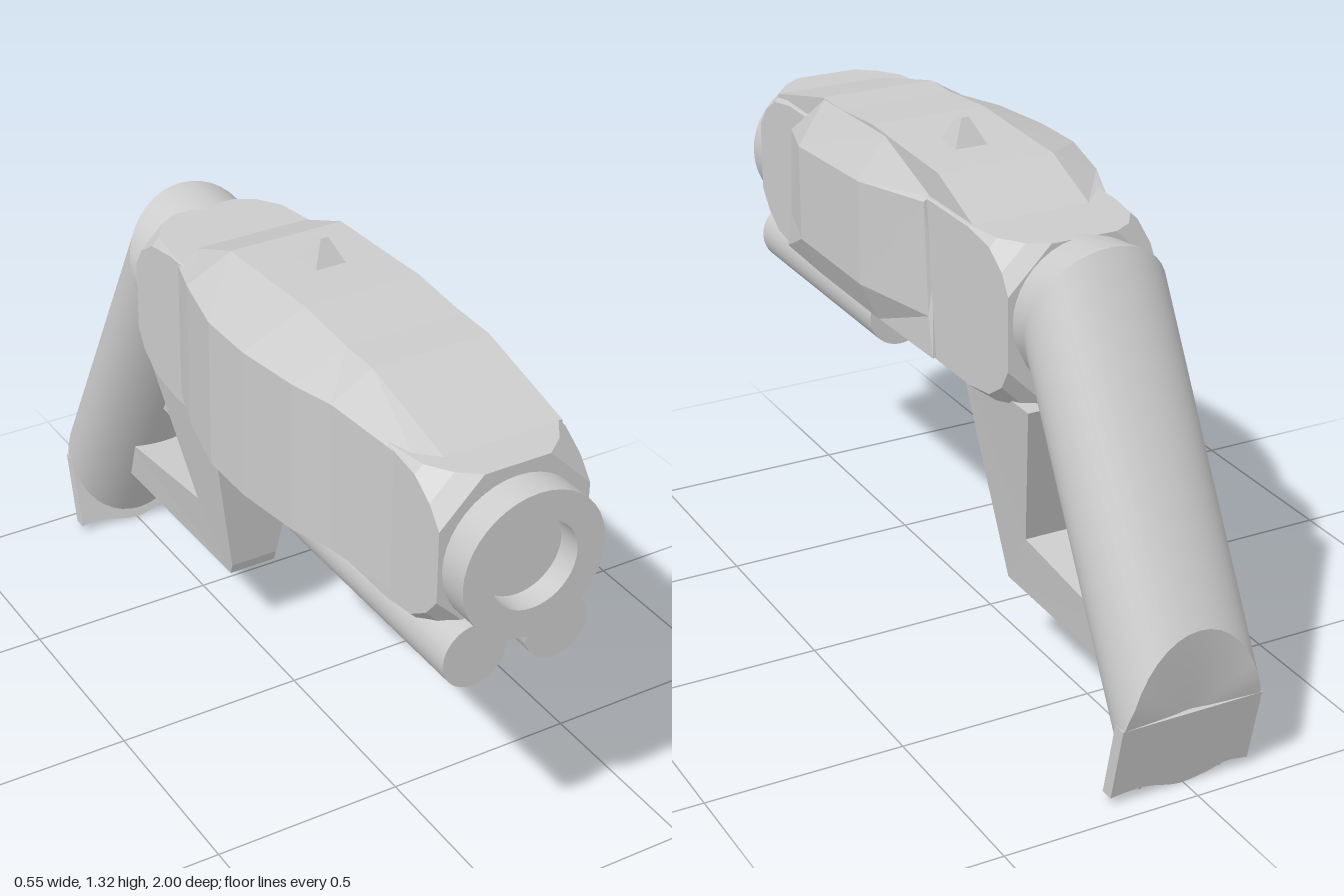
import * as THREE from 'three';
import { toCreasedNormals } from 'three/addons/utils/BufferGeometryUtils.js';

const CX = 0.012; // centre line of the round parts

// Joins closed rings of [x, y, z] points into a capped solid facing outwards.
function loft(rings, crease = 0) {
  const tris = [];
  const n = rings[0].length;
  const centre = (ring) => [0, 1, 2].map((k) => ring.reduce((t, p) => t + p[k], 0) / n);
  for (let j = 0; j < n; j++) {
    const k = (j + 1) % n;
    for (let i = 0; i < rings.length - 1; i++) {
      const a = rings[i], b = rings[i + 1];
      tris.push([a[j], a[k], b[k]], [a[j], b[k], b[j]]);
    }
    const first = rings[0], last = rings[rings.length - 1];
    tris.push([centre(first), first[k], first[j]], [centre(last), last[j], last[k]]);
  }
  const v = tris.map((t) => t.map((p) => new THREE.Vector3(...p)));
  const volume = v.reduce((t, [a, b, c]) => t + a.dot(b.clone().cross(c)), 0);
  if (volume < 0) v.forEach((t) => t.reverse());
  const geo = new THREE.BufferGeometry().setFromPoints(v.flat());
  geo.computeVertexNormals();
  return crease ? toCreasedNormals(geo, crease) : geo;
}

// Extrudes a side outline of [z, y] points across x; halfWidth(y) gives the taper.
function sideSolid(points, halfWidth) {
  const shape = new THREE.Shape(points.map(([z, y]) => new THREE.Vector2(-z, y)));
  const geo = new THREE.ExtrudeGeometry(shape, { depth: 2, bevelEnabled: false });
  geo.translate(0, 0, -1).rotateY(Math.PI / 2);
  const p = geo.attributes.position;
  for (let i = 0; i < p.count; i++) p.setX(i, CX + p.getX(i) * halfWidth(p.getY(i)));
  geo.computeVertexNormals();
  return geo;
}

export function createModel() {
  const group = new THREE.Group();
  const material = new THREE.MeshStandardMaterial({ color: 0xcccccc });
  const add = (name, geo) => {
    const mesh = new THREE.Mesh(geo, material);
    mesh.name = name;
    group.add(mesh);
    return mesh;
  };

  // Main body: a box whose corners are cut away towards both ends
  const [x0, x1, y0, y1] = [-0.183, 0.206, 0.778, 1.18];
  const bodyRing = (z, c) => [
    [x0 + c, y0, z], [x1 - c, y0, z], [x1, y0 + c, z], [x1, y1 - c, z],
    [x1 - c, y1, z], [x0 + c, y1, z], [x0, y1 - c, z], [x0, y0 + c, z],
  ];
  add('body', loft([
    [-0.47, 0.11], [-0.44, 0.06], [-0.38, 0.02], [-0.28, 0.004],
    [0.72, 0.004], [0.82, 0.02], [0.88, 0.06], [0.92, 0.11],
  ].map(([z, c]) => bodyRing(z, c))));

  // Muzzle ring with a shallow bore
  const muzzle = new THREE.LatheGeometry(
    [[0.184, 0.85], [0.184, 1], [0.111, 1], [0.111, 0.94], [0, 0.94]].map((p) => new THREE.Vector2(...p)), 40);
  muzzle.rotateX(Math.PI / 2).translate(CX, 0.967, 0);
  add('muzzle', toCreasedNormals(muzzle, 0.6));

  // Two tubes under the front
  for (const [name, x] of [['leftLowerTube', 0.116], ['rightLowerTube', -0.1]]) {
    const tube = new THREE.CylinderGeometry(0.082, 0.082, 0.68, 32);
    tube.rotateX(Math.PI / 2).translate(x, 0.74, 0.612);
    add(name, tube);
  }

  // Roof that folds down over the right side: [z, top height, side x, shoulder height]
  add('roofAndRightPanel', loft([
    [-0.28, 1.18, -0.17, 1.165],
    [-0.11, 1.25, -0.23, 1.19],
    [0.08, 1.258, -0.275, 1.195],
    [0.24, 1.266, -0.275, 1.195],
    [0.42, 1.252, -0.25, 1.195],
    [0.53, 1.252, -0.215, 1.19],
    [0.82, 1.18, -0.17, 1.165],
  ].map(([z, top, side, shoulder]) => [
    [0.196, top, z], [-0.11, top, z], [side, shoulder, z],
    [side, 0.81, z], [-0.12, 0.81, z], [0.196, 1.1, z],
  ])));

  // Bulged plate on the left side: top, upper, lower and bottom edges, then its back
  const plateRing = (zTop, zBottom, top, upper, xMid, xBottom) => [
    [0.197, top, zTop], [xMid, upper, zTop], [xMid, 0.887, (zTop + zBottom) / 2],
    [xBottom, 0.785, zBottom], [0.18, 0.785, zBottom], [0.18, upper - 0.02, zTop],
  ];
  add('leftPanel', loft([
    plateRing(-0.07, -0.11, 1.18, 1.17, 0.215, 0.215),
    plateRing(0.17, 0.17, 1.258, 1.155, 0.272, 0.222),
    plateRing(0.52, 0.52, 1.25, 1.138, 0.272, 0.222),
    plateRing(0.7, 0.74, 1.13, 1.12, 0.212, 0.215),
  ]));

  // Small sight pyramid
  const sight = new THREE.CylinderGeometry(0.014, 0.0707, 0.08, 4, 1).rotateY(Math.PI / 4).toNonIndexed();
  sight.translate(0.047, 1.28, 0.05).computeVertexNormals();
  add('sight', sight);

  // Neck and slanted grip: an oval tube, mitred at the top and cut off at the back
  const neckRing = [], mitreRing = [], endRing = [];
  for (let i = 0; i < 40; i++) {
    const a = (i / 40) * Math.PI * 2;
    const s = Math.sin(a);
    const x = CX + 0.182 * Math.cos(a);
    const g = -0.921 - (s + 1) * 0.157; // each line along the grip is z = g + 0.54 y
    const top = Math.min((-0.19 - g) / 0.873, (-0.5 - g) / 0.54);
    const end = Math.max((-1 - g) / 0.54, (-0.935 - g) / 0.78, 0.02);
    neckRing.push([x, 0.995 + 0.182 * s, -0.42]);
    mitreRing.push([x, top, g + 0.54 * top]);
    endRing.push([x, end, g + 0.54 * end]);
  }
  add('neck', loft([neckRing, mitreRing], 0.6));
  add('grip', loft([mitreRing, endRing], 0.6));

  // Thin end plate of the grip with a wavy lower edge, leaning forward
  const outline = new THREE.Shape();
  outline.moveTo(0.195, 0.22);
  outline.lineTo(-0.171, 0.22);
  outline.lineTo(-0.171, 0.02);
  outline.splineThru([[-0.11, 0.028], [-0.06, 0.012], [0.012, 0.002], [0.09, 0.022], [0.14, 0.026], [0.195, 0.02]]
    .map((p) => new THREE.Vector2(...p)));
  const plate = new THREE.ExtrudeGeometry(outline, { depth: 0.035, bevelEnabled: false, curveSegments: 4 });
  const pp = plate.attributes.position;
  for (let i = 0; i < pp.count; i++) pp.setZ(i, pp.getZ(i) - 1 + 0.24 * (0.27 - pp.getY(i)));
  plate.computeVertexNormals();
  add('gripEndPlate', plate);

  // Guard: tapered front arm and the bar running back to the grip
  add('guard', sideSolid(
    [[-0.17, 0.79], [-0.23, 0.25], [-0.24, 0.22], [-0.85, 0.213], [-0.8, 0.335], [-0.37, 0.39], [-0.5, 0.79]],
    (y) => 0.066 + 0.17 * Math.max(0, y - 0.25)));

  // Trigger
  add('trigger', sideSolid(
    [[-0.477, 0.488], [-0.53, 0.605], [-0.58, 0.64], [-0.68, 0.6], [-0.68, 0.505]], () => 0.04));

  return group;
}
